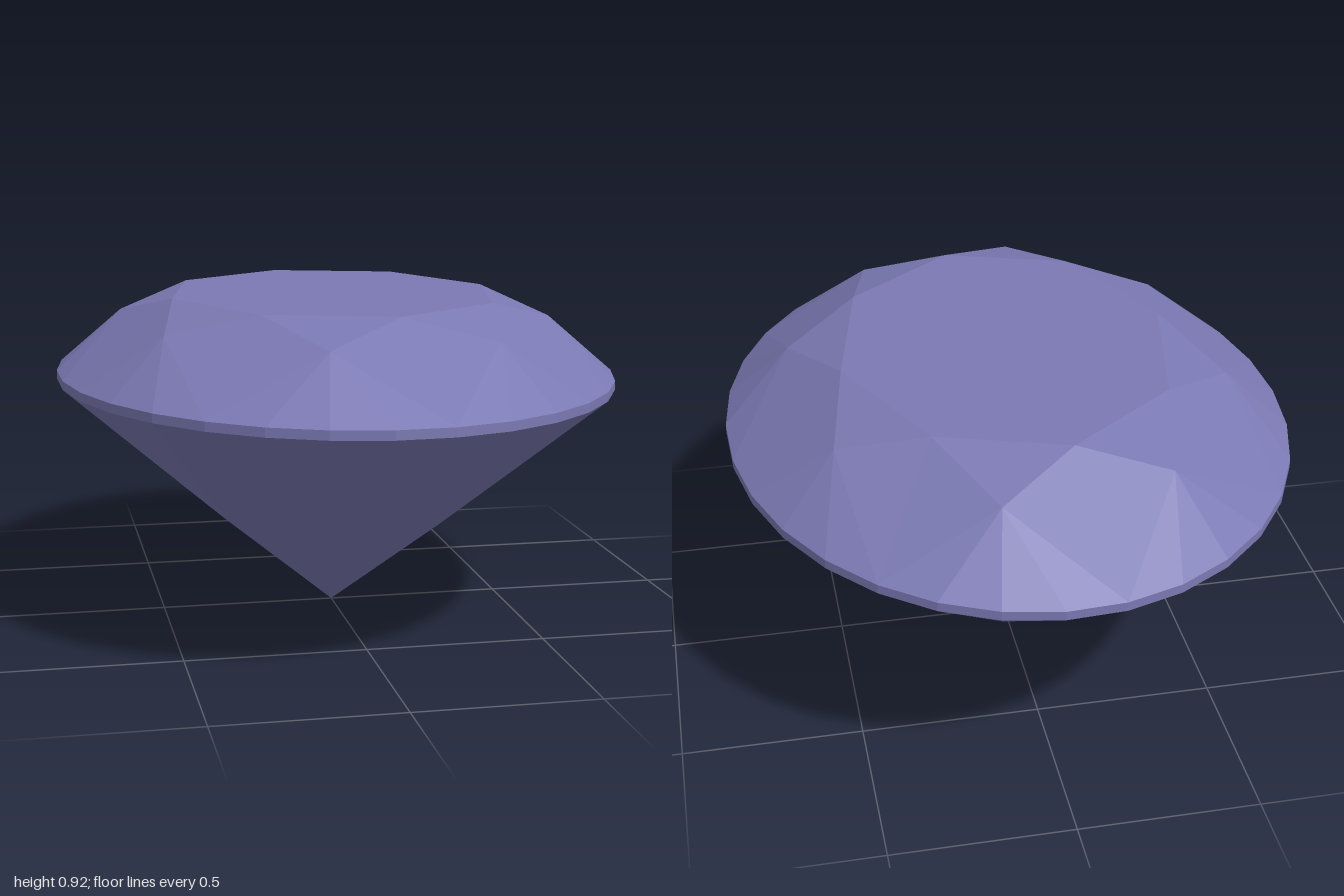
import * as THREE from 'three';

const SEGMENTS = 32;                             // girdle sides; main facets fall on every fourth
const PHASE = THREE.MathUtils.degToRad(8.25);    // turn of the cut relative to the oval
const WIDTH = 0.79;                              // oval width relative to its length

// Point on an oval ring: k = girdle step, r = radius, y = height
function point(k, r, y) {
  const a = PHASE + (k / SEGMENTS) * Math.PI * 2;
  return new THREE.Vector3(Math.sin(a) * r * WIDTH, y, Math.cos(a) * r);
}

// Flat facets from convex polygons, each fanned into triangles
function facetMesh(name, polygons, material, flip = false) {
  const corners = [];
  for (const p of polygons) {
    for (let i = 1; i < p.length - 1; i++) {
      corners.push(...(flip ? [p[0], p[i + 1], p[i]] : [p[0], p[i], p[i + 1]]));
    }
  }
  const geometry = new THREE.BufferGeometry().setFromPoints(corners);
  geometry.computeVertexNormals();
  const mesh = new THREE.Mesh(geometry, material);
  mesh.name = name;
  return mesh;
}

export function createModel() {
  const gem = new THREE.MeshStandardMaterial({ color: 0x7b79b3, flatShading: true });
  gem.name = 'violet gem';

  const tableAt = (k) => point(k, 0.6, 0.925);
  const crownAt = (k) => point(k, 0.775, 0.864);
  const girdleTop = (k) => point(k, 1, 0.71);
  const girdleBottom = (k) => point(k, 1, 0.685);
  const pavilionAt = (k) => point(k, 0.52, 0.33);
  const culet = new THREE.Vector3(0, 0.003, 0);

  const table = [[]], stars = [], kites = [], upperGirdle = [];
  const girdle = [], lowerGirdle = [], mains = [];

  for (let k = 0; k < SEGMENTS; k += 4) {
    table[0].push(tableAt(k));
    stars.push([tableAt(k), crownAt(k + 2), tableAt(k + 4)]);
    kites.push([tableAt(k), crownAt(k - 2), girdleTop(k), crownAt(k + 2)]);
    mains.push([culet, pavilionAt(k - 2), girdleBottom(k), pavilionAt(k + 2)]);
    // Slim facets running out to the girdle, and the girdle band itself
    for (let j = k; j < k + 4; j++) {
      upperGirdle.push([crownAt(k + 2), girdleTop(j), girdleTop(j + 1)]);
      lowerGirdle.push([pavilionAt(k + 2), girdleBottom(j), girdleBottom(j + 1)]);
      girdle.push([girdleTop(j), girdleBottom(j), girdleBottom(j + 1), girdleTop(j + 1)]);
    }
  }

  const crown = new THREE.Group();
  crown.name = 'crown';
  crown.add(
    facetMesh('table', table, gem),
    facetMesh('starFacets', stars, gem),
    facetMesh('kiteFacets', kites, gem),
    facetMesh('upperGirdleFacets', upperGirdle, gem),
  );

  const pavilion = new THREE.Group();
  pavilion.name = 'pavilion';
  pavilion.add(
    facetMesh('lowerGirdleFacets', lowerGirdle, gem, true),
    facetMesh('pavilionMainFacets', mains, gem, true),
  );

  const model = new THREE.Group();
  model.name = 'ovalGemstone';
  model.add(crown, facetMesh('girdle', girdle, gem), pavilion);
  return model;
}
